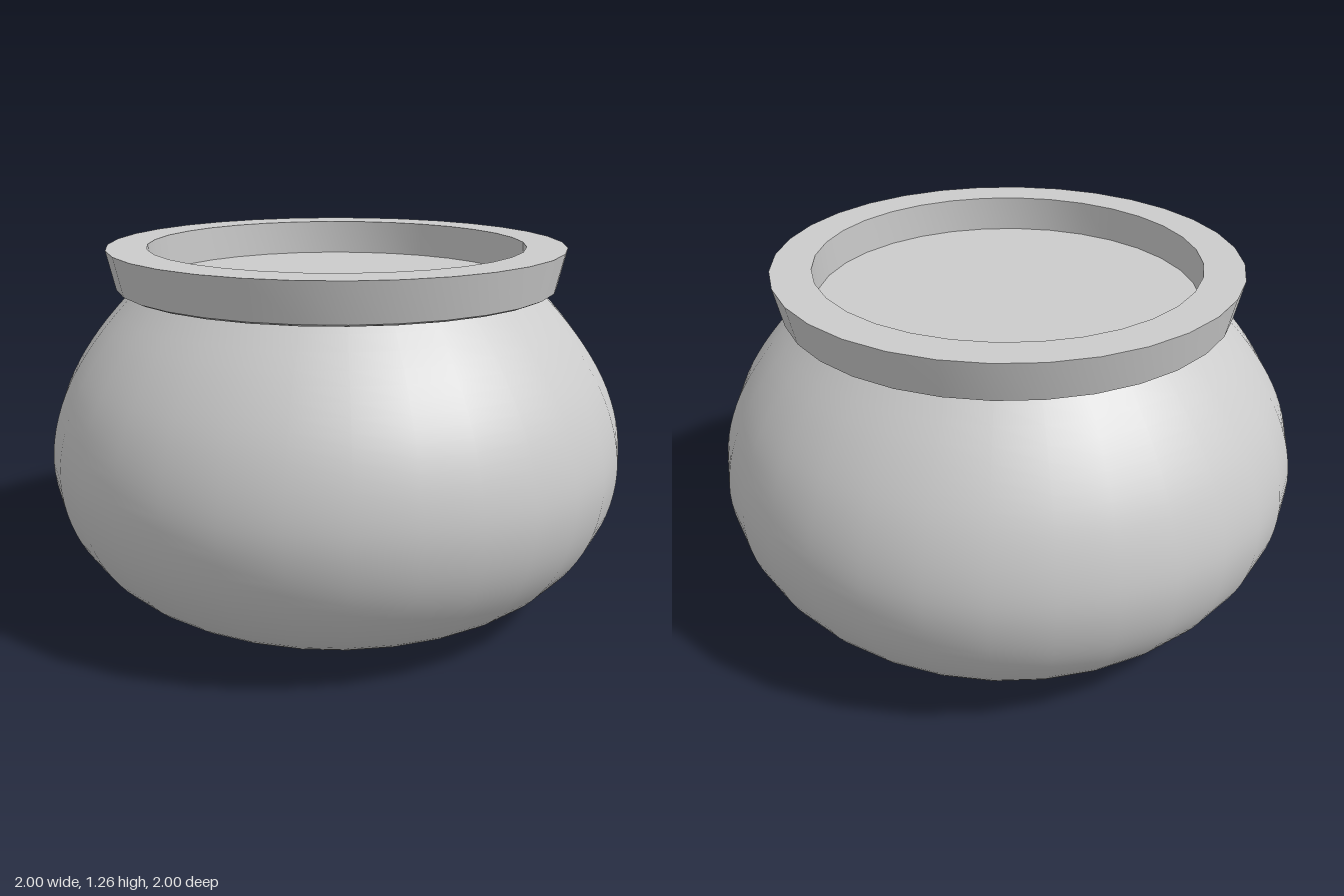
import * as THREE from 'three';
import { toCreasedNormals } from 'three/addons/utils/BufferGeometryUtils.js';

const SIDES = 32;
const points = (list) => list.map(([r, y]) => new THREE.Vector2(r, y));

export function createModel() {
  const model = new THREE.Group();
  model.name = 'pot';
  const material = new THREE.MeshStandardMaterial({ color: 0xcccccc });
  const add = (name, geometry) => {
    const mesh = new THREE.Mesh(geometry, material);
    mesh.name = name;
    model.add(mesh);
    return mesh;
  };

  // Squat rounded belly, smooth from the base to the neck
  const curve = new THREE.SplineCurve(points([
    [0, 0], [0.3, 0.002], [0.48, 0.012], [0.6, 0.033], [0.7, 0.07], [0.8, 0.13],
    [0.88, 0.21], [0.945, 0.31], [0.985, 0.42], [1, 0.54], [0.985, 0.66],
    [0.945, 0.78], [0.885, 0.89], [0.8, 1.005], [0.69, 1.125],
  ]));
  add('belly', new THREE.LatheGeometry(curve.getPoints(42), SIDES));

  // Flared collar with a flat top, straight bore and crisp edges
  const collar = new THREE.LatheGeometry(points([
    [0.66, 1.115], [0.74, 1.12], [0.757, 1.128], [0.787, 1.26], [0.65, 1.26], [0.65, 1.12],
  ]), SIDES);
  add('collar', toCreasedNormals(collar, Math.PI / 6));

  // Flat surface of the contents, sunk below the collar
  const contents = add('contents', new THREE.CircleGeometry(0.655, SIDES));
  contents.rotation.x = -Math.PI / 2;
  contents.position.y = 1.137;

  return model;
}
